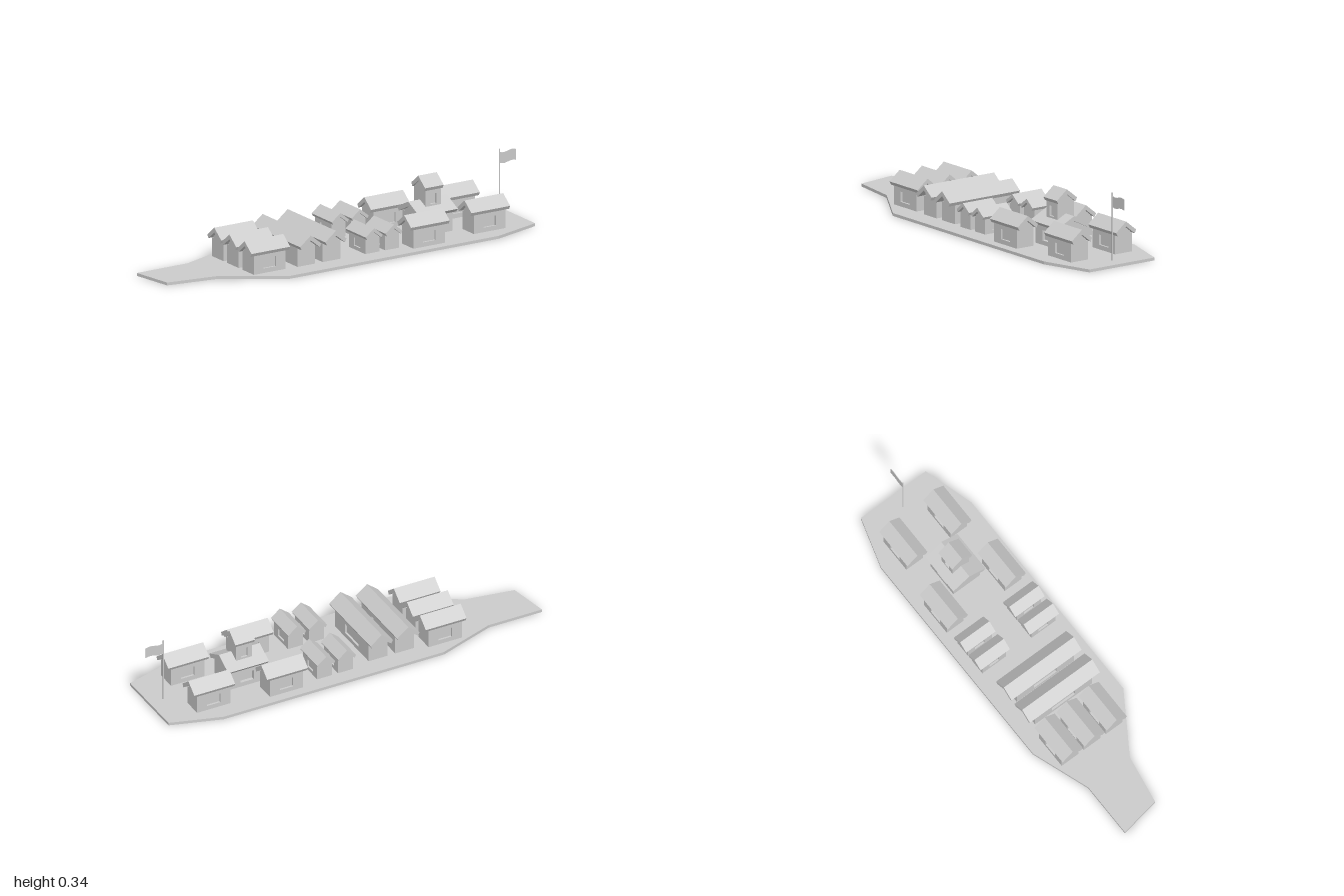
import * as THREE from 'three';

const material = new THREE.MeshStandardMaterial({ color: 0xcccccc, flatShading: true });

function mesh(name, geometry) {
  const m = new THREE.Mesh(geometry, material);
  m.name = name;
  return m;
}

function polygon(points) {
  return new THREE.Shape(points.map(([x, y]) => new THREE.Vector2(x, y)));
}

function extrude(shape, depth) {
  return new THREE.ExtrudeGeometry(shape, { depth, bevelEnabled: false });
}

// Extrudes a gable profile along x, centred
function alongX(points, length) {
  return extrude(polygon(points), length).translate(0, 0, -length / 2).rotateY(Math.PI / 2);
}

// House parts, ridge along x, standing on y = 0
const L = 0.175, HALF = 0.049, REVEAL = 0.01, EAVE = 0.092;
const inner = HALF - REVEAL;

const coreGeometry = alongX([
  [-inner, 0], [inner, 0], [inner, EAVE + REVEAL * 0.8], [0, 0.132], [-inner, EAVE + REVEAL * 0.8],
], L);

const roofGeometry = alongX([
  [0, 0.154], [-0.059, 0.107], [-0.05, 0.0905], [0, 0.1305], [0.05, 0.0905], [0.059, 0.107],
], 0.215);

// Long wall with a window opening
const wallShape = polygon([[-L / 2, 0], [L / 2, 0], [L / 2, EAVE], [-L / 2, EAVE]]);
wallShape.holes.push(polygon([[-0.035, 0.022], [-0.035, 0.071], [0.035, 0.071], [0.035, 0.022]]));
const wallGeometry = extrude(wallShape, REVEAL).translate(0, 0, inner);

function house(name, x, y, z, scale = [1, 1, 1], turned = false) {
  const g = new THREE.Group();
  g.name = name;
  const back = mesh('backWall', wallGeometry);
  back.rotation.y = Math.PI;
  g.add(mesh('core', coreGeometry), mesh('frontWall', wallGeometry), back, mesh('roof', roofGeometry));
  g.position.set(x, y, z);
  g.scale.set(...scale);
  if (turned) g.rotation.y = Math.PI / 2;
  return g;
}

export function createModel() {
  const model = new THREE.Group();
  model.name = 'settlement';
  const ground = 0.014;

  // Base plate, outline given as x and z
  const outline = [
    [-1, -0.163], [-0.72, -0.163], [-0.43, -0.265], [0.73, -0.265], [0.982, -0.19],
    [0.982, 0.19], [0.73, 0.265], [-0.43, 0.265], [-0.72, 0.081], [-0.965, 0.041],
  ];
  const plate = extrude(polygon(outline.map(([x, z]) => [x, -z])), ground).rotateX(-Math.PI / 2);
  model.add(mesh('basePlate', plate));

  // Row of three houses at the narrow end
  for (const z of [-0.147, -0.019, 0.111]) model.add(house('rowHouse', -0.473, ground, z));

  // Two long halls across the plate
  for (const x of [-0.273, -0.133]) {
    model.add(house('longHall', x, ground, -0.002, [1.91, 1, 1], true));
  }

  // Mirrored pairs: huts and side houses
  for (const s of [-1, 1]) {
    for (const x of [0.062, 0.172]) {
      model.add(house('smallHut', x, 0.031, s * 0.144, [0.8, 0.8, 0.8], true));
    }
    model.add(house('sideHouse', 0.375, ground, s * 0.17));
    model.add(house('endHouse', 0.737, ground, s * 0.129));
  }

  // Central house with its tower
  model.add(house('centralHouse', 0.508, ground, 0, [1, 1, 1.6]));
  model.add(house('tower', 0.508, 0.131, 0, [0.48, 1, 1]));

  // Flagpole and waving flag
  const pole = mesh('flagpole', new THREE.CylinderGeometry(0.003, 0.003, 0.326, 8));
  pole.position.set(0.908, ground + 0.163, 0);
  model.add(pole);

  const top = [], bottom = [];
  for (let i = 0; i <= 12; i++) {
    const t = i / 12, wave = -0.004 * Math.sin(t * Math.PI * 2);
    top.push([0.908 + 0.092 * t, 0.324 + wave]);
    bottom.unshift([0.908 + 0.092 * t, 0.271 + wave]);
  }
  model.add(mesh('flag', extrude(polygon([...top, ...bottom]), 0.003).translate(0, 0, -0.0015)));
  return model;
}
